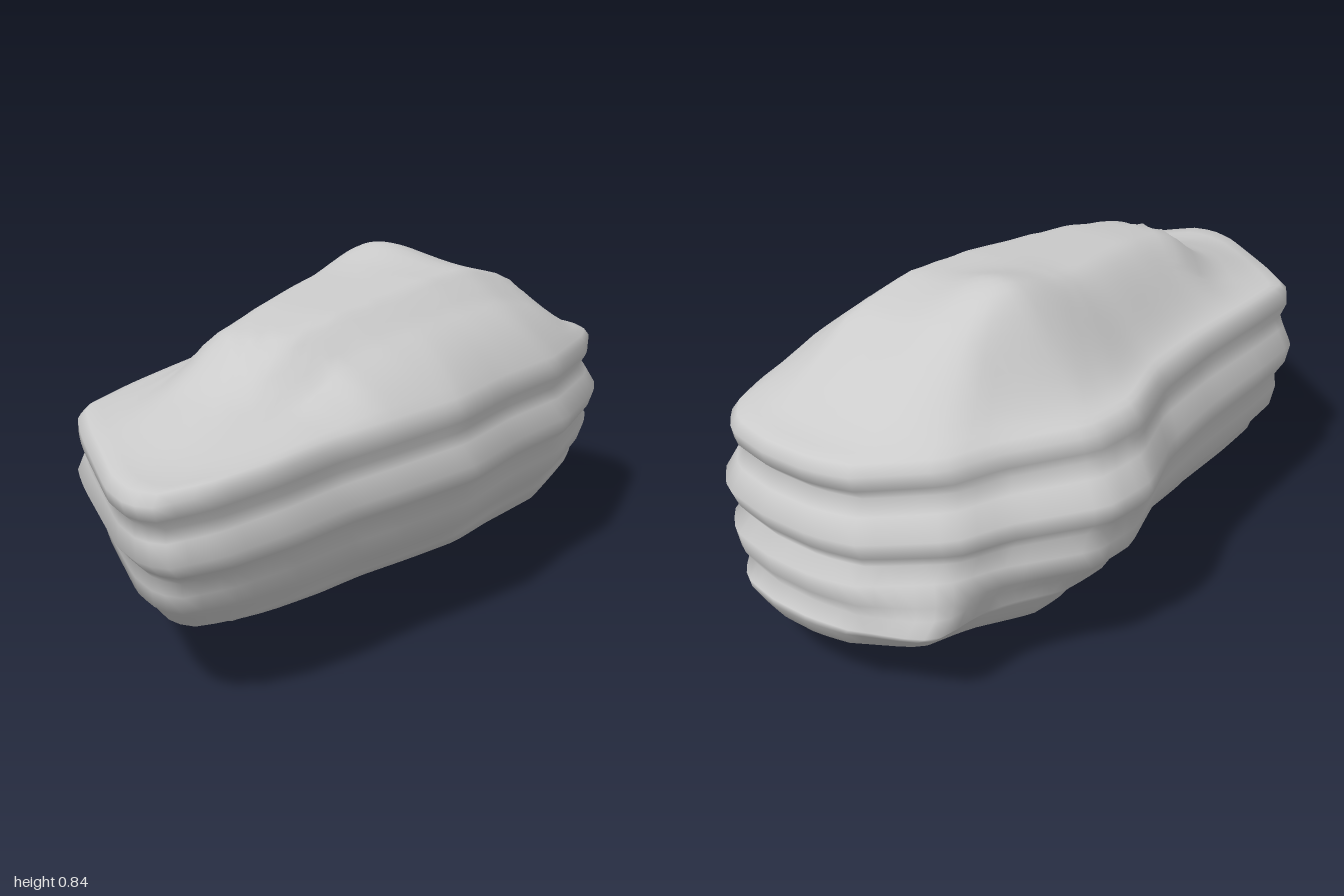
import * as THREE from 'three';
import { mergeVertices } from 'three/addons/utils/BufferGeometryUtils.js';

// Plan outline of the widest layer, as x, z pairs
const OUTLINE = [
  [0.085, -1], [0.24, -0.97], [0.33, -0.9], [0.39, -0.78], [0.44, -0.61], [0.48, -0.46], [0.487, -0.19],
  [0.513, 0.07], [0.476, 0.32], [0.44, 0.5], [0.42, 0.69], [0.38, 0.87], [0.32, 0.985], [0.25, 0.995],
  [0.14, 0.95], [-0.11, 0.78], [-0.18, 0.73], [-0.285, 0.64], [-0.33, 0.43], [-0.375, 0.13],
  [-0.43, -0.13], [-0.52, -0.34], [-0.52, -0.5], [-0.4, -0.7], [-0.35, -0.83], [-0.19, -0.97], [-0.07, -1],
];
// Strata from the upper rim to the underside: y, xMin, xMax, zMin, zMax
const LAYERS = [
  [0.605, -0.435, 0.47, -0.94, 0.975], [0.585, -0.455, 0.483, -0.96, 1], [0.55, -0.465, 0.488, -0.95, 0.99],
  [0.52, -0.455, 0.475, -0.92, 0.955], [0.49, -0.475, 0.485, -0.95, 0.96], [0.44, -0.515, 0.513, -0.98, 0.97],
  [0.395, -0.515, 0.5, -0.965, 0.93], [0.36, -0.485, 0.468, -0.945, 0.895], [0.325, -0.495, 0.472, -0.985, 0.9],
  [0.27, -0.48, 0.45, -0.98, 0.88], [0.232, -0.435, 0.41, -0.96, 0.82], [0.205, -0.425, 0.4, -0.99, 0.81],
  [0.185, -0.395, 0.385, -0.985, 0.74], [0.145, -0.36, 0.35, -0.96, 0.61], [0.08, -0.3, 0.26, -0.85, 0.52],
  [0.045, -0.2, 0.17, -0.77, 0.46], [0.012, -0.11, 0.06, -0.67, 0.39], [0.03, -0.05, -0.05, -0.15, -0.15],
];
// Height of the crown along the length: z, y
const RIDGE = [[-1, 0.56], [-0.93, 0.58], [-0.8, 0.65], [-0.6, 0.77], [-0.4, 0.81], [-0.2, 0.81],
  [0.2, 0.785], [0.42, 0.755], [0.48, 0.71], [0.57, 0.66], [0.8, 0.605], [1, 0.56]];
// Falloff on the right flank of the crown: x, share of height
const FLANK = [[-1, 1], [0.18, 1], [0.28, 0.72], [0.37, 0.58], [0.47, 0.42], [1, 0]];
const SEGMENTS = 108;
const CAP_RINGS = 20;
const { smoothstep, lerp } = THREE.MathUtils;

function sample(table, t) {
  const i = Math.max(1, table.findIndex((p) => p[0] >= t));
  const [t0, v0] = table[i - 1], [t1, v1] = table[i];
  return lerp(v0, v1, (t - t0) / (t1 - t0));
}

const bump = (x, z, cx, cz, rx, rz) => Math.exp(-(((x - cx) / rx) ** 2) - ((z - cz) / rz) ** 2);

// The strata sag slightly towards both ends
const sag = (y, z) => 0.037 * z * z * smoothstep(y, 0.2, 0.5);

function layerPoint(p, [y, x0, x1, z0, z1]) {
  const x = lerp(x0, x1, (p.x + 0.52) / 1.033);
  const z = lerp(z0, z1, (p.z + 1) / 1.995);
  // The keel narrows to the front; the lowest ledge juts out at one back corner
  const taper = 0.22 * smoothstep(z, -0.6, 0.4) * (1 - smoothstep(y, 0.05, 0.19));
  const jut = bump(x, z, -0.3, -0.86, 0.14, 0.14) * smoothstep(y, 0.05, 0.2) * (1 - smoothstep(y, 0.2, 0.32));
  return [lerp(x, -0.1, taper) - 0.06 * jut, y - sag(y, z), z - 0.04 * jut];
}

// Crown: a tongue-shaped plateau with a rounded front and a valley on the left
function crownPoint(p, s) {
  const [rx, ry, rz] = layerPoint(p, LAYERS[0]);
  const x = lerp(0.04, rx, s), z = lerp(-0.1, rz, s);
  const left = lerp(-0.2, -0.05, smoothstep(z, -0.45, 0.4));
  const across = smoothstep(x, left - 0.25, left + 0.05) * sample(FLANK, x);
  const rim = lerp(LAYERS[0][0] - sag(LAYERS[0][0], z), ry, s * s);
  const bend = Math.min(0.2, Math.abs(x - 0.07));
  const tongue = Math.min(1, z + 2.5 * bend ** 2 * smoothstep(z, 0, 0.4));
  const rise = Math.max(0, sample(RIDGE, tongue) - rim) * across;
  const detail = 0.045 * bump(x, z, -0.11, -0.43, 0.14, 0.17) - 0.01 * bump(x, z, -0.2, -0.18, 0.1, 0.12);
  return [x, rim + (rise + detail) * (1 - s ** 6), z];
}

function createRockGeometry() {
  const corners = OUTLINE.map(([x, z]) => new THREE.Vector3(x, 0, z));
  const outline = new THREE.CatmullRomCurve3(corners, true, 'catmullrom', 0.15)
    .getSpacedPoints(SEGMENTS).slice(0, SEGMENTS);
  const positions = [];
  for (let r = 0; r < CAP_RINGS; r++) {
    for (const p of outline) positions.push(...crownPoint(p, r / CAP_RINGS));
  }
  // Layered sides and keel
  for (const layer of LAYERS) for (const p of outline) positions.push(...layerPoint(p, layer));

  // Skin the rings; the first and last ones close to a point
  const index = [];
  const last = CAP_RINGS + LAYERS.length - 2;
  for (let r = 0; r <= last; r++) {
    for (let j = 0; j < SEGMENTS; j++) {
      const a = r * SEGMENTS + j, b = r * SEGMENTS + (j + 1) % SEGMENTS;
      const c = a + SEGMENTS, d = b + SEGMENTS;
      if (r > 0) index.push(a, b, c);
      if (r < last) index.push(b, d, c);
    }
  }
  const rings = new THREE.BufferGeometry();
  rings.setAttribute('position', new THREE.Float32BufferAttribute(positions, 3));
  rings.setIndex(index);
  const geometry = mergeVertices(rings, 1e-5);
  geometry.computeVertexNormals();
  // Rest the keel on the ground
  geometry.computeBoundingBox();
  geometry.translate(0, -geometry.boundingBox.min.y, 0);
  return geometry;
}

export function createModel() {
  const group = new THREE.Group();
  group.name = 'layeredRock';
  const rock = new THREE.Mesh(createRockGeometry(), new THREE.MeshStandardMaterial({ color: 0xcccccc }));
  rock.name = 'rock';
  group.add(rock);
  return group;
}
